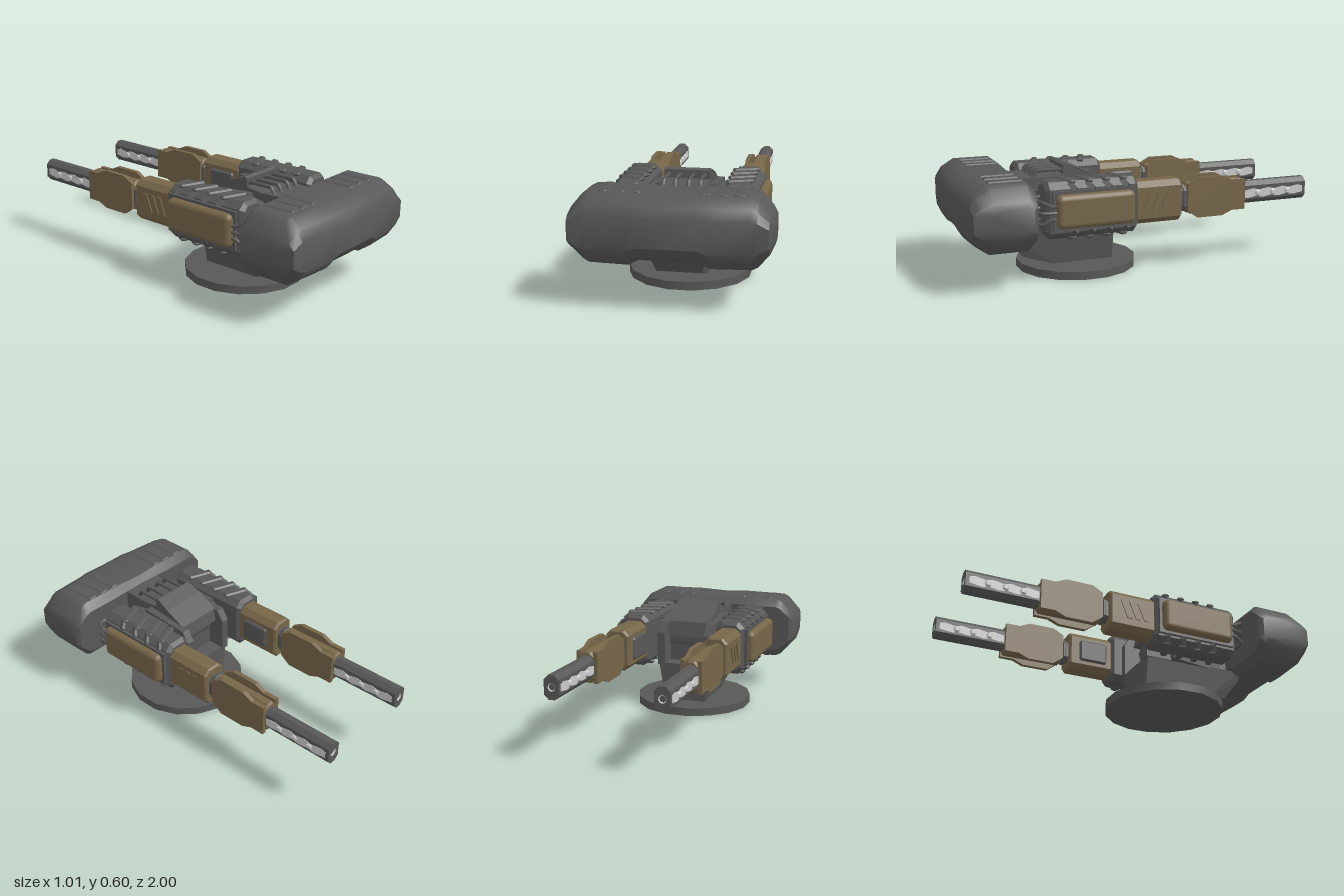
import * as THREE from 'three';
import { toCreasedNormals } from 'three/addons/utils/BufferGeometryUtils.js';
import { RoundedBoxGeometry } from 'three/addons/geometries/RoundedBoxGeometry.js';

const paint = (color) => new THREE.MeshStandardMaterial({ color });
const dark = paint(0x585858);
const brown = paint(0x766649);
const steel = paint(0xcccccc);
const AXIS_Y = 0.395, GUN_X = 0.285;

function add(parent, name, geometry, material, x = 0, y = 0, z = 0) {
  const mesh = new THREE.Mesh(geometry, material);
  mesh.name = name;
  mesh.position.set(x, y, z);
  parent.add(mesh);
  return mesh;
}

// Side profile of [z, y] points, spread along x; halfWidth may vary with y and z
function prism(points, halfWidth) {
  const shape = new THREE.Shape(points.map(([z, y]) => new THREE.Vector2(z, y)));
  const g = new THREE.ExtrudeGeometry(shape, { depth: 2, bevelEnabled: false });
  g.translate(0, 0, -1).rotateY(-Math.PI / 2);
  const p = g.attributes.position;
  const w = typeof halfWidth === 'function' ? halfWidth : () => halfWidth;
  for (let i = 0; i < p.count; i++) p.setX(i, p.getX(i) * w(p.getY(i), p.getZ(i)));
  g.computeVertexNormals();
  return g;
}

// Bar along z with cut corners, bevelled ends and an optional round bore
function cutBar(w, h, cut, z0, z1, bevel = 0.01, bore = 0) {
  const a = w / 2, b = h / 2;
  const shape = new THREE.Shape([
    [a, -b + cut], [a, b - cut], [a - cut, b], [-a + cut, b],
    [-a, b - cut], [-a, -b + cut], [-a + cut, -b], [a - cut, -b],
  ].map(([x, y]) => new THREE.Vector2(x, y)));
  if (bore) shape.holes.push(new THREE.Path().absarc(0, 0, bore, 0, Math.PI * 2, true));
  const g = new THREE.ExtrudeGeometry(shape, {
    depth: z1 - z0 - 2 * bevel, bevelEnabled: bevel > 0, bevelThickness: bevel,
    bevelSize: bevel, bevelOffset: -bevel, bevelSegments: 1, curveSegments: 4,
  });
  return g.translate(0, 0, z0 + bevel);
}

function pipe(points, radius) {
  const curve = new THREE.CatmullRomCurve3(points.map((p) => new THREE.Vector3(...p)), false, 'catmullrom', 0.2);
  return new THREE.TubeGeometry(curve, 16, radius, 6);
}

// Wide front block, lofted across x from rounded side sections
function frontBlockGeometry() {
  const half = [ // x, top, bottom, front z, back z
    [0.15, 0.57, 0.243, 0.995, 0.635], [0.2, 0.57, 0.215, 0.99, 0.635], [0.4, 0.57, 0.215, 0.975, 0.635],
    [0.43, 0.555, 0.23, 0.972, 0.636], [0.485, 0.49, 0.295, 0.965, 0.64], [0.503, 0.462, 0.325, 0.88, 0.66],
  ];
  const stations = [...half.map(([x, ...r]) => [-x, ...r]).reverse(), [0, 0.562, 0.248, 1, 0.635], ...half];
  const pos = [], idx = [], n = 10;
  for (const [x, t, b, f, k] of stations) {
    const h = t - b;
    const section = [
      [k, b + 0.12 * h], [k, t - 0.12 * h], [k + 0.04, t], [f - 0.1, t], [f - 0.03, t - 0.12 * h],
      [f, t - 0.26 * h], [f, b + 0.27 * h], [f - 0.03, b + 0.14 * h], [f - 0.1, b], [k + 0.04, b],
    ];
    for (const [z, y] of section) pos.push(x, y, z);
  }
  const last = (stations.length - 1) * n;
  for (let i = 0; i < last; i += n) {
    for (let j = 0; j < n; j++) {
      const k = (j + 1) % n;
      idx.push(i + j, i + k, i + n + j, i + n + j, i + k, i + n + k);
    }
  }
  for (let j = 1; j < n - 1; j++) idx.push(0, j + 1, j, last, last + j, last + j + 1);
  const g = new THREE.BufferGeometry();
  g.setAttribute('position', new THREE.Float32BufferAttribute(pos, 3));
  g.setIndex(idx);
  return toCreasedNormals(g, 0.6);
}

// One gun arm; s = 1 is the model's left, s = -1 its right
function createArm(s) {
  const arm = new THREE.Group();
  arm.name = s > 0 ? 'leftGun' : 'rightGun';
  const cx = s * GUN_X;

  add(arm, 'armHousing', cutBar(0.165, 0.3, 0.035, 0.05, 0.56, 0.02), dark, cx, AXIS_Y);
  add(arm, 'sidePanel', new RoundedBoxGeometry(0.085, 0.18, 0.43, 2, 0.03), brown, s * 0.38, 0.398, 0.3);
  add(arm, 'panelMount', new THREE.BoxGeometry(0.04, 0.21, 0.46), dark, s * 0.365, 0.398, 0.3);

  // Slanted cooling ribs over the top and under the belly
  for (let i = 0; i < 4; i++) {
    for (const [y, side] of [[0.543, 1], [0.247, -1]]) {
      const rib = add(arm, 'coolingRib', cutBar(0.15, 0.022, 0.009, -0.02, 0.02, 0.008), dark, cx, y, 0.15 + i * 0.095);
      rib.rotation.y = s * 0.36;
      const edge = add(arm, 'ribEnd', new THREE.BoxGeometry(0.018, 0.055, 0.03), dark, s * 0.357, y - side * 0.025, 0.13 + i * 0.095);
      edge.rotation.set(side * 0.7, 0, s * side * 0.7);
    }
  }

  // Looped hoses at the front of the housing
  for (const k of [-1, 0, 1]) {
    const y = AXIS_Y + k * 0.06, y2 = AXIS_Y + k * 0.035;
    add(arm, 'hose', pipe([
      [s * 0.39, y2, 0.49], [s * 0.39, y2, 0.54], [s * 0.38, y, 0.585], [s * 0.36, y, 0.597],
      [s * 0.275, y, 0.597], [s * 0.25, y, 0.585], [s * 0.245, y, 0.54],
    ], 0.009), dark);
  }

  // Sleeve with slanted fins
  add(arm, 'sleeve', cutBar(0.138, 0.23, 0.03, -0.21, 0.06), brown, cx, AXIS_Y);
  for (let i = 0; i < 3; i++) {
    const z = -0.01 - i * 0.05;
    add(arm, 'sleeveFin', prism([[z, 0.35], [z + 0.03, 0.35], [z - 0.01, 0.45], [z - 0.04, 0.45]], 0.075), brown, cx);
  }
  add(arm, 'innerBox', cutBar(0.03, 0.13, 0.01, -0.15, 0.02), dark, s * 0.217, AXIS_Y);
  add(arm, 'collar', cutBar(0.085, 0.135, 0.025, -0.3, -0.19, 0), dark, cx, AXIS_Y);
  add(arm, 'collarRing', cutBar(0.1, 0.15, 0.03, -0.245, -0.225, 0.005), dark, cx, AXIS_Y);

  // Shroud: a core between two eight-sided armour plates
  add(arm, 'shroudCore', cutBar(0.095, 0.17, 0.03, -0.6, -0.25), brown, cx, AXIS_Y);
  const outline = [
    [-0.25, 0.33], [-0.25, 0.475], [-0.31, 0.508], [-0.46, 0.508],
    [-0.52, 0.48], [-0.6, 0.48], [-0.6, 0.31], [-0.52, 0.31], [-0.46, 0.285], [-0.31, 0.285],
  ];
  for (const k of [-1, 1]) {
    const plate = add(arm, 'shroudPlate', prism(outline, 0.012), brown, cx + k * 0.047);
    plate.geometry.translate(0, -AXIS_Y, 0.42);
    plate.position.y = AXIS_Y;
    plate.position.z = -0.42;
  }

  // Barrel with bright side inserts and a bored muzzle
  add(arm, 'barrel', cutBar(0.08, 0.125, 0.024, -0.985, -0.58, 0), dark, cx, AXIS_Y);
  add(arm, 'muzzle', cutBar(0.08, 0.125, 0.024, -1, -0.985, 0, 0.022), dark, cx, AXIS_Y);
  add(arm, 'muzzleRing', new THREE.TorusGeometry(0.022, 0.006, 6, 12), steel, cx, AXIS_Y, -0.993);
  for (let i = 0; i < 4; i++) {
    const z = -0.605 - i * 0.095;
    add(arm, 'barrelInsert', prism([
      [z, 0.368], [z, 0.408], [z - 0.06, 0.418], [z - 0.09, 0.41], [z - 0.09, 0.375], [z - 0.03, 0.365],
    ], 0.042), steel, cx);
    if (i < 3) add(arm, 'barrelStud', cutBar(0.1, 0.035, 0.008, z - 0.105, z - 0.07, 0.008), steel, cx, 0.39);
  }
  return arm;
}

export function createModel() {
  const model = new THREE.Group();
  model.name = 'twinTurret';

  // Turntable
  const disc = new THREE.CylinderGeometry(0.335, 0.335, 0.045, 16).rotateY(Math.PI / 16);
  add(model, 'baseDisc', toCreasedNormals(disc, 0.5), dark, 0, 0.0225, 0.283);

  // Pedestal, flaring upward toward the cradle
  const flare = (y) => 0.12 + Math.max(0, y - 0.1) * 0.24;
  add(model, 'pedestal', prism([[0.11, 0.045], [0.46, 0.045], [0.46, 0.26], [0.11, 0.26]], flare), dark);
  add(model, 'pedestalFront', prism([[0.45, 0.045], [0.62, 0.1], [0.7, 0.21], [0.7, 0.26], [0.45, 0.26]], flare), dark);

  // Cradle: front body, side walls and the recessed rear between them
  add(model, 'cradleBody', prism([[0.25, 0.25], [0.58, 0.25], [0.58, 0.46], [0.43, 0.5], [0.25, 0.5]],
    (y, z) => (z > 0.5 ? 0.145 : 0.2)), dark);
  add(model, 'recessWall', prism([[0.2, 0.25], [0.3, 0.25], [0.3, 0.5], [0.2, 0.46]], 0.13), dark);
  for (const s of [-1, 1]) {
    add(model, 'cradleWall', prism([[0.1, 0.25], [0.45, 0.25], [0.43, 0.52], [0.14, 0.5], [0.1, 0.44]], 0.022), dark, s * 0.142);
  }
  const axle = add(model, 'axle', new THREE.CylinderGeometry(0.09, 0.09, 0.42, 12), dark, 0, AXIS_Y, 0.28);
  axle.rotation.z = Math.PI / 2;

  // Hood with its raised lip, neck and ducts
  add(model, 'hood', prism([
    [0.155, 0.43], [0.17, 0.5], [0.29, 0.56], [0.375, 0.595], [0.39, 0.585], [0.39, 0.54], [0.56, 0.52], [0.56, 0.42],
  ], (y, z) => (z > 0.37 ? 0.122 : 0.132)), dark);
  add(model, 'neck', prism([[0.5, 0.24], [0.7, 0.24], [0.7, 0.53], [0.5, 0.53]], 0.12), dark);
  for (const x of [-0.095, -0.035, 0.035, 0.095]) {
    add(model, 'duct', pipe([[x, 0.55, 0.36], [x, 0.562, 0.4], [x, 0.562, 0.53], [x, 0.52, 0.555]], 0.011), dark);
  }

  // Front block with shallow strips above and below
  add(model, 'frontBlock', frontBlockGeometry(), dark);
  for (const s of [-1, 1]) {
    for (const x of [0.17, 0.25, 0.335]) {
      add(model, 'topStrip', cutBar(0.05, 0.014, 0.006, 0.68, 0.86, 0.005), dark, s * x, 0.569);
    }
    for (const x of [0.265, 0.34]) {
      add(model, 'bottomStrip', cutBar(0.04, 0.014, 0.006, 0.68, 0.86, 0.005), dark, s * x, 0.216);
    }
    model.add(createArm(s));
  }
  return model;
}
